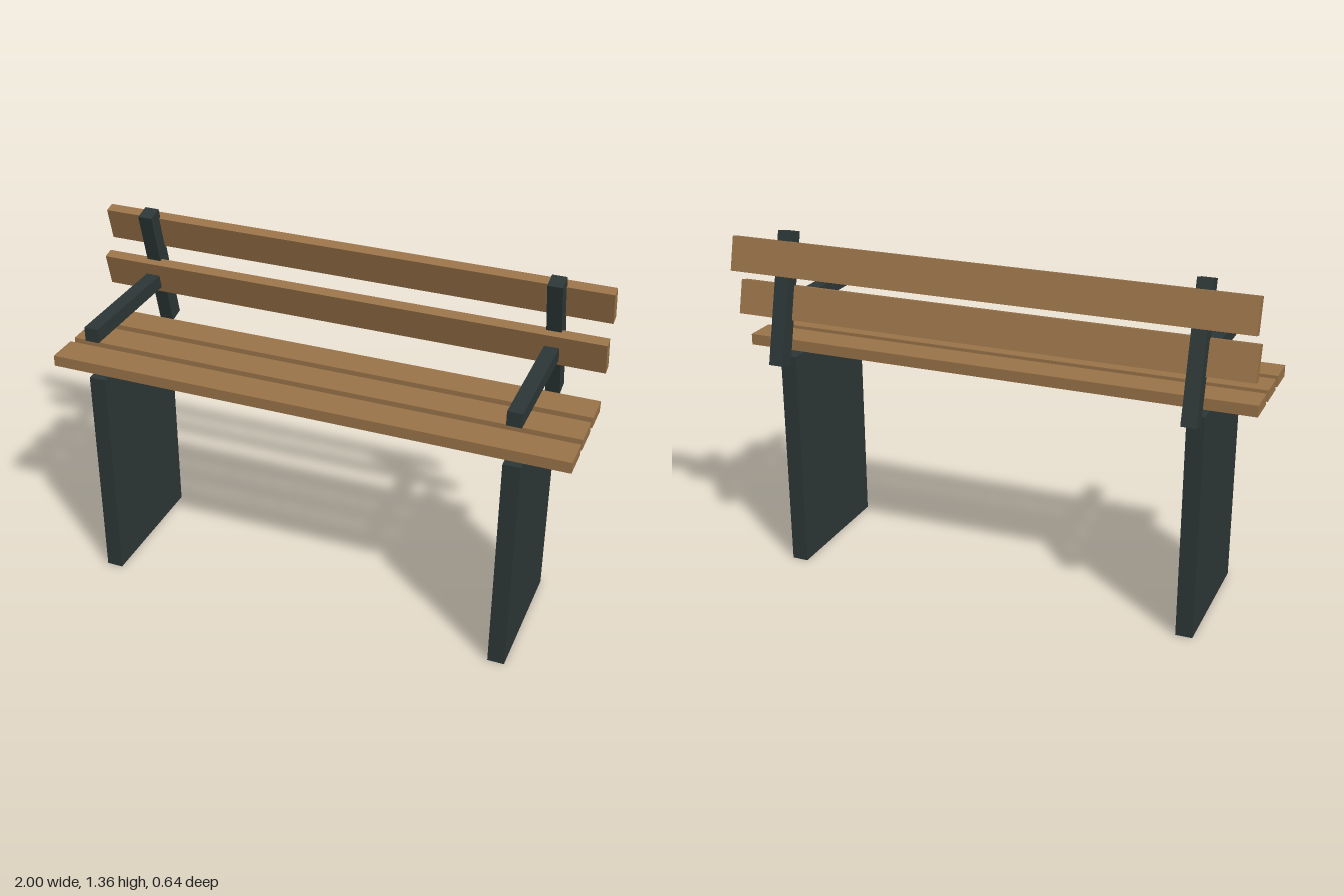
import * as THREE from 'three';

export function createModel() {
  const bench = new THREE.Group();
  bench.name = 'bench';

  const wood = new THREE.MeshStandardMaterial({ color: 0x9b744a });
  wood.name = 'wood';
  const iron = new THREE.MeshStandardMaterial({ color: 0x2d3737 });
  iron.name = 'dark iron';

  // Box with a centre, a size and a tilt about the x axis
  function box(name, material, size, position, tilt = 0) {
    const mesh = new THREE.Mesh(new THREE.BoxGeometry(...size), material);
    mesh.name = name;
    mesh.position.set(...position);
    mesh.rotation.x = tilt;
    bench.add(mesh);
  }

  const backTilt = THREE.MathUtils.degToRad(14);

  // Seat slats
  for (const z of [0.219, 0.063, -0.093]) {
    box('seatSlat', wood, [2, 0.043, 0.124], [0, 0.892, z]);
  }

  // Backrest slats: the upper behind the posts, the lower in front
  box('upperBackSlat', wood, [2, 0.131, 0.042], [0, 1.259, -0.232], backTilt);
  box('lowerBackSlat', wood, [2, 0.131, 0.042], [0, 1.079, -0.192], backTilt);

  // Side frames
  for (const [side, x] of [['left', 0.8], ['right', -0.8]]) {
    box(side + 'LegPanel', iron, [0.064, 0.87, 0.534], [x, 0.435, 0.043]);
    box(side + 'BackPost', iron, [0.056, 0.508, 0.064], [x, 1.103, -0.226], backTilt);
    box(side + 'Armrest', iron, [0.055, 0.055, 0.54], [x, 1.06, 0.05]);
  }

  return bench;
}
